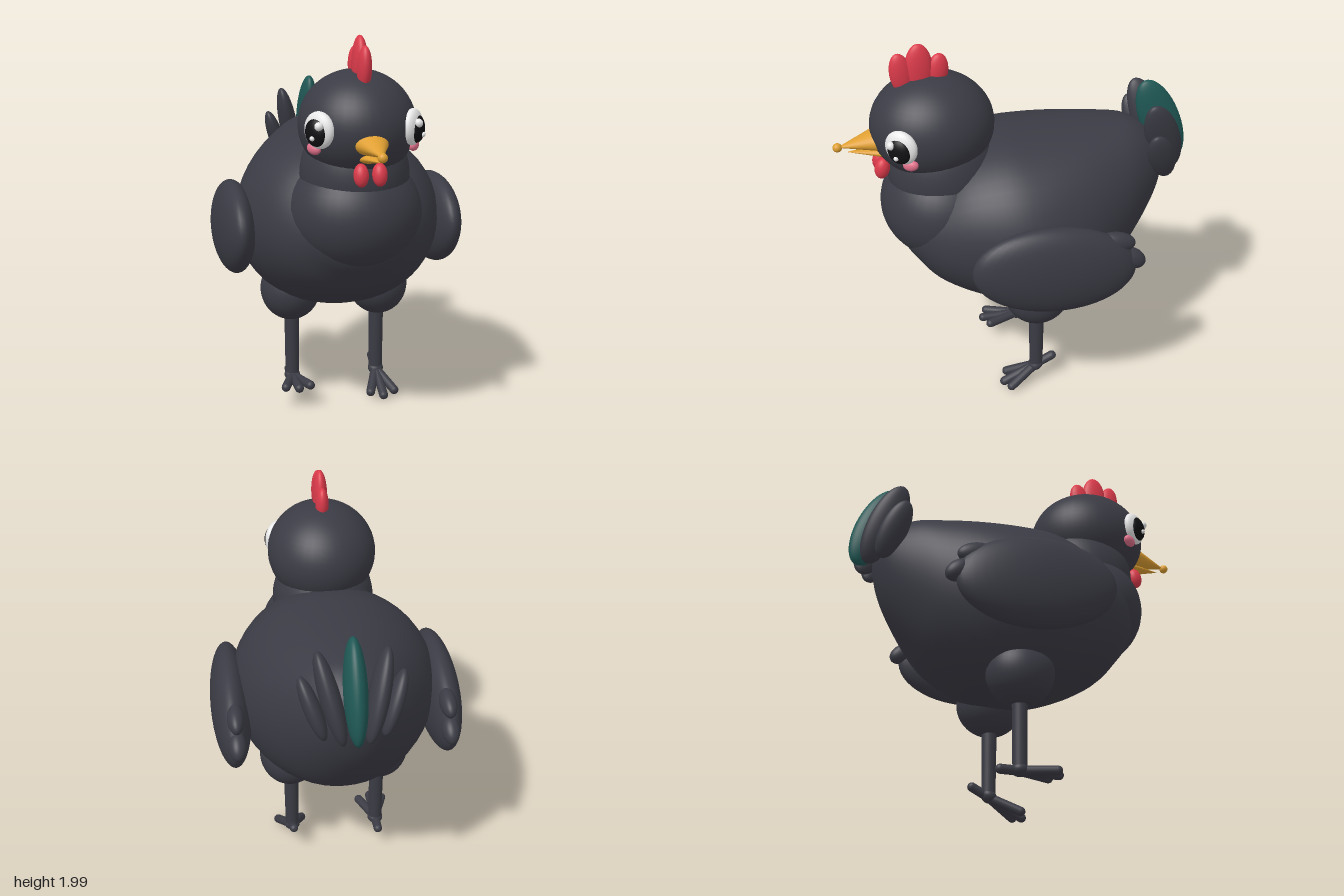
import * as THREE from 'three';

const mat = (name, color) => {
  const m = new THREE.MeshStandardMaterial({ color });
  m.name = name;
  return m;
};

export function createModel() {
  const charcoal = mat('charcoal feathers', 0x3b3b45);
  const teal = mat('teal feather', 0x1f5855);
  const red = mat('comb red', 0xdb3a4a);
  const amber = mat('beak amber', 0xdf9f32);
  const white = mat('eye white', 0xf4f4f4);
  const black = mat('pupil black', 0x111114);
  const pink = mat('cheek pink', 0xe0708a);

  const model = new THREE.Group();
  model.name = 'hen';
  const unitSphere = new THREE.SphereGeometry(1, 40, 28);
  const up = new THREE.Vector3(0, 1, 0);

  const add = (name, geometry, material, parent = model) => {
    const mesh = new THREE.Mesh(geometry, material);
    mesh.name = name;
    parent.add(mesh);
    return mesh;
  };
  // Ellipsoid from centre, radii and optional rotation
  const blob = (name, material, pos, radii, rot = [0, 0, 0], parent = model) => {
    const m = add(name, unitSphere, material, parent);
    m.position.set(...pos);
    m.scale.set(...radii);
    m.rotation.set(...rot);
    return m;
  };
  // Place a y-aligned mesh between two points
  const span = (mesh, a, b) => {
    const p = new THREE.Vector3(...a), q = new THREE.Vector3(...b);
    mesh.position.copy(p).lerp(q, 0.5);
    mesh.quaternion.setFromUnitVectors(up, q.sub(p).normalize());
    return mesh;
  };
  const dist = (a, b) => new THREE.Vector3(...a).distanceTo(new THREE.Vector3(...b));
  const feather = (name, material, a, b, rx, rz) =>
    span(blob(name, material, [0, 0, 0], [rx, dist(a, b) / 2, rz]), a, b);

  // Body: oval cross-sections [z, bottom, top, half width] from front to rear
  const sections = [
    [0.62, 1.05, 1.05, 0], [0.6, 0.92, 1.15, 0.17], [0.54, 0.83, 1.24, 0.27],
    [0.45, 0.73, 1.31, 0.36], [0.3, 0.64, 1.42, 0.45], [0.11, 0.57, 1.485, 0.52],
    [-0.07, 0.545, 1.495, 0.53], [-0.28, 0.58, 1.495, 0.475], [-0.47, 0.68, 1.49, 0.37],
    [-0.6, 0.825, 1.475, 0.27], [-0.71, 1.0, 1.41, 0.165], [-0.76, 1.14, 1.34, 0.09],
    [-0.78, 1.25, 1.25, 0],
  ];
  const spline = pts => new THREE.CatmullRomCurve3(pts, false, 'catmullrom', 0.5);
  const outline = spline(sections.map(s => new THREE.Vector3(s[0], s[1], s[2])));
  const widths = spline(sections.map(s => new THREE.Vector3(s[3], 0, 0)));
  const rings = 48, sides = 48, verts = [], index = [];
  for (let i = 0; i <= rings; i++) {
    const o = outline.getPoint(i / rings), w = Math.max(0, widths.getPoint(i / rings).x);
    for (let j = 0; j < sides; j++) {
      const a = (j / sides) * Math.PI * 2, c = Math.cos(a);
      verts.push(w * Math.sign(c) * Math.abs(c) ** 0.93,
        (o.y + o.z) / 2 + (o.z - o.y) / 2 * Math.sin(a), o.x);
      if (i === rings) continue;
      const p = i * sides + j, q = i * sides + (j + 1) % sides;
      index.push(p, p + sides, q, q, p + sides, q + sides);
    }
  }
  const bodyGeo = new THREE.BufferGeometry();
  bodyGeo.setAttribute('position', new THREE.Float32BufferAttribute(verts, 3));
  bodyGeo.setIndex(index);
  bodyGeo.computeVertexNormals();
  add('body', bodyGeo, charcoal);

  // Breast, neck and head
  blob('breast', charcoal, [0, 1.13, 0.38], [0.335, 0.3, 0.325]);
  blob('neck', charcoal, [0, 1.32, 0.38], [0.27, 0.3, 0.28]);
  blob('head', charcoal, [0, 1.573, 0.425], [0.285, 0.265, 0.31]);

  // Comb
  blob('combFront', red, [0, 1.85, 0.565], [0.034, 0.11, 0.055], [0.15, 0, 0]);
  blob('combMiddle', red, [0, 1.86, 0.478], [0.038, 0.14, 0.07]);
  blob('combBack', red, [0, 1.85, 0.388], [0.034, 0.092, 0.053], [-0.15, 0, 0]);

  // Beak: two flattened cones and a rounded tip
  const cone = (name, a, b, rx, ry) => {
    const m = span(add(name, new THREE.ConeGeometry(1, 1, 32), amber), a, b);
    m.scale.set(rx, dist(a, b), ry);
  };
  cone('upperBeak', [0, 1.522, 0.67], [0, 1.49, 0.9], 0.098, 0.064);
  cone('lowerBeak', [0, 1.447, 0.66], [0, 1.46, 0.855], 0.062, 0.028);
  blob('beakTip', amber, [0, 1.49, 0.898], [0.023, 0.023, 0.023]);

  // Tail fan
  feather('tailCentre', teal, [0, 1.205, -0.87], [0, 1.675, -0.67], 0.056, 0.105);

  for (const s of [1, -1]) {
    const side = s > 0 ? 'left' : 'right';
    feather(side + 'TailInner', charcoal, [s * 0.06, 1.19, -0.83], [s * 0.165, 1.61, -0.67], 0.05, 0.09);
    feather(side + 'TailOuter', charcoal, [s * 0.14, 1.19, -0.775], [s * 0.245, 1.48, -0.665], 0.042, 0.07);

    // Face
    const yaw = s * 0.925;
    blob(side + 'Eye', white, [s * 0.225, 1.578, 0.61], [0.085, 0.088, 0.042], [0, yaw, 0]);
    blob(side + 'Pupil', black, [s * 0.242, 1.57, 0.622], [0.062, 0.067, 0.034], [0, yaw, 0]);
    blob(side + 'Glint', white, [s * 0.238, 1.602, 0.66], [0.021, 0.021, 0.021]);
    blob(side + 'SmallGlint', white, [s * 0.266, 1.545, 0.643], [0.012, 0.012, 0.012]);
    blob(side + 'Cheek', pink, [s * 0.243, 1.485, 0.572], [0.04, 0.028, 0.024], [0, s * 1.0, s * 0.2]);
    blob(side + 'Wattle', red, [s * 0.045, 1.372, 0.69], [0.036, 0.056, 0.038], [-0.2, 0, 0]);

    // Wing with two tip feathers
    blob(side + 'Wing', charcoal, [s * 0.542, 0.975, -0.075], [0.104, 0.243, 0.418], [-0.12, 0, 0]);
    blob(side + 'WingFeatherUpper', charcoal, [s * 0.532, 1.085, -0.385], [0.043, 0.055, 0.1], [-0.2, 0, 0]);
    blob(side + 'WingFeatherLower', charcoal, [s * 0.532, 0.98, -0.47], [0.045, 0.052, 0.08], [-0.6, 0, 0]);

    // Leg
    blob(side + 'Thigh', charcoal, [s * 0.24, 0.62, -0.06], [0.16, 0.17, 0.175]);
    const shank = add(side + 'Shank', new THREE.CylinderGeometry(0.04, 0.036, 0.4, 24), charcoal);
    shank.position.set(s * 0.235, 0.32, -0.06);

    // Foot: the left one is pitched with toes down
    const foot = new THREE.Group();
    foot.name = side + 'Foot';
    foot.position.set(s * 0.235, 0.12, -0.06);
    foot.rotation.x = s > 0 ? 0.47 : 0;
    model.add(foot);
    blob(side + 'Ankle', charcoal, [0, 0.005, 0], [0.042, 0.034, 0.042], [0, 0, 0], foot);
    for (const tip of [[0, 0, 0.2], [0.066, 0, 0.17], [-0.066, 0, 0.17], [0, 0, -0.1]]) {
      const len = dist([0, 0, 0], tip);
      span(add(side + 'Toe', new THREE.CapsuleGeometry(0.024, len, 8, 16), charcoal, foot), [0, 0, 0], tip);
    }
  }
  return model;
}
